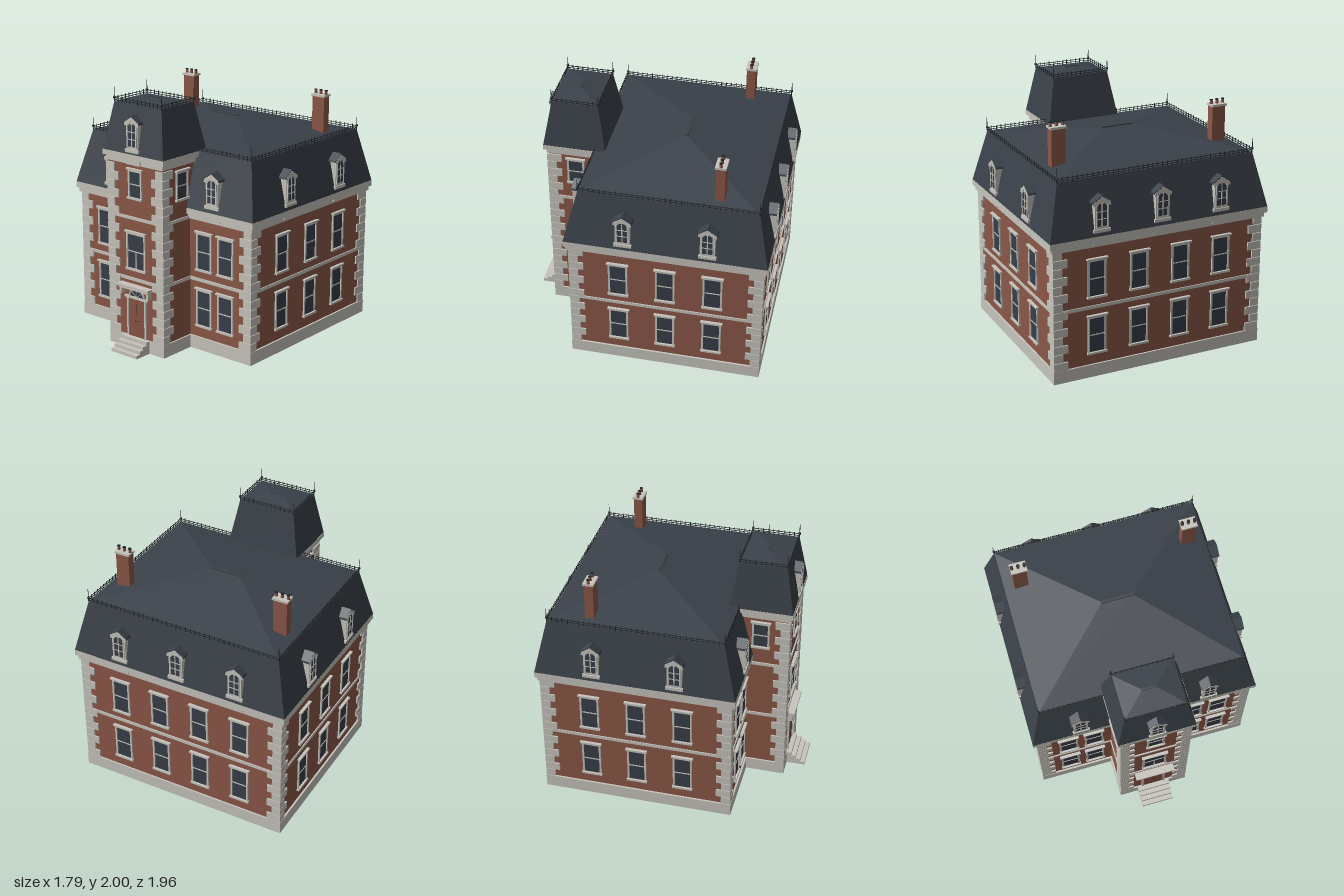
import * as THREE from 'three';
import { mergeGeometries } from 'three/addons/utils/BufferGeometryUtils.js';

const material = (name, color) => {
  const m = new THREE.MeshStandardMaterial({ color });
  m.name = name;
  return m;
};

export function createModel() {
  const stone = material('stone', 0xc6c4bc);
  const brick = material('brick', 0x8b5746);
  const slate = material('slate', 0x3a4149);
  const glass = material('glass', 0x373e49);
  const iron = material('iron', 0x22262a);
  const wood = material('door wood', 0x875342);

  const house = new THREE.Group();
  house.name = 'house';

  const add = (parent, name, geo, mat) => {
    const mesh = new THREE.Mesh(geo, mat);
    mesh.name = name;
    parent.add(mesh);
    return mesh;
  };
  const boxGeo = (x0, x1, y0, y1, z0, z1) =>
    new THREE.BoxGeometry(x1 - x0, y1 - y0, z1 - z0)
      .translate((x0 + x1) / 2, (y0 + y1) / 2, (z0 + z1) / 2);
  const box = (parent, name, mat, ...b) => add(parent, name, boxGeo(...b), mat);
  const group = (name, x = 0, y = 0, z = 0, turn = 0) => {
    const g = new THREE.Group();
    g.name = name;
    g.position.set(x, y, z);
    g.rotation.y = turn;
    house.add(g);
    return g;
  };

  // Box whose top face is a different rectangle: [x0, x1, z0, z1]
  const taper = (name, mat, low, y0, high, y1) => {
    const geo = new THREE.BoxGeometry(1, 1, 1).toNonIndexed();
    const p = geo.attributes.position;
    for (let i = 0; i < p.count; i++) {
      const top = p.getY(i) > 0, r = top ? high : low;
      p.setXYZ(i, p.getX(i) < 0 ? r[0] : r[1], top ? y1 : y0, p.getZ(i) < 0 ? r[2] : r[3]);
    }
    geo.computeVertexNormals();
    add(house, name, geo, mat);
  };

  // Walls, plinths and string courses
  box(house, 'mainWalls', brick, -0.845, 0.845, 0.05, 1.06, -0.932, 0.52);
  box(house, 'towerWalls', brick, -0.265, 0.265, 0.05, 1.48, 0.39, 0.825);
  box(house, 'mainPlinth', stone, -0.86, 0.86, 0, 0.1, -0.945, 0.535);
  box(house, 'towerPlinth', stone, -0.278, 0.278, 0, 0.1, 0.4, 0.838);
  for (const [y0, y1] of [[0.545, 0.57]]) {
    box(house, 'mainBelt', stone, -0.853, 0.853, y0, y1, -0.94, 0.528);
    box(house, 'towerBelt', stone, -0.273, 0.273, y0, y1, 0.4, 0.833);
  }
  box(house, 'towerUpperBelt', stone, -0.275, 0.275, 1.025, 1.048, 0.4, 0.835);

  // Cornices
  box(house, 'mainCorniceLower', stone, -0.87, 0.87, 1.03, 1.065, -0.955, 0.545);
  box(house, 'mainCorniceUpper', stone, -0.887, 0.887, 1.065, 1.112, -0.97, 0.56);
  box(house, 'towerCorniceLower', stone, -0.278, 0.278, 1.45, 1.49, 0.385, 0.838);
  box(house, 'towerCorniceUpper', stone, -0.3, 0.3, 1.49, 1.53, 0.37, 0.857);

  // Mansard slopes, hipped tops and ridge caps
  const mainTop = [-0.79, 0.79, -0.88, 0.455];
  const towerTop = [-0.232, 0.232, 0.435, 0.79];
  taper('mainMansard', slate, [-0.887, 0.887, -0.97, 0.56], 1.11, mainTop, 1.53);
  taper('mainHipRoof', slate, mainTop, 1.53, [-0.12, 0.12, -0.214, -0.212], 1.655);
  box(house, 'mainRidge', slate, -0.125, 0.125, 1.645, 1.662, -0.225, -0.201);
  taper('towerMansard', slate, [-0.298, 0.298, 0.372, 0.855], 1.53, towerTop, 1.89);
  taper('towerHipRoof', slate, towerTop, 1.89, [-0.05, 0.05, 0.611, 0.613], 1.92);
  box(house, 'towerRidge', slate, -0.055, 0.055, 1.912, 1.925, 0.602, 0.622);

  // Corner quoins: long and short blocks swap sides on each course
  const quoins = (name, cx, cz, top) => {
    const parts = [], h = 0.067, sx = Math.sign(cx), sz = Math.sign(cz);
    for (let i = 0, y = 0.1; y < top - 0.02; i++, y += h) {
      const w = i % 2 ? 0.073 : 0.113, d = i % 2 ? 0.113 : 0.073;
      const y1 = Math.min(y + h - 0.004, top);
      parts.push(new THREE.BoxGeometry(w, y1 - y, d)
        .translate(cx - sx * w / 2, (y + y1) / 2, cz - sz * d / 2));
    }
    add(house, name, mergeGeometries(parts), stone);
  };
  for (const s of [-1, 1]) {
    quoins('mainFrontQuoins', s * 0.857, 0.532, 1.03);
    quoins('mainBackQuoins', s * 0.857, -0.944, 1.03);
    quoins('towerQuoins', s * 0.277, 0.837, 1.45);
  }

  // Sash window facing local +z; w is half the glass width, split adds a lower mullion
  const sash = (x, y, z, turn, w = 0.06, h = 0.27, split = false) => {
    const g = group('window', x, y, z, turn);
    box(g, 'glass', glass, -w, w, 0, h, -0.005, 0.004);
    const f = 0.014;
    const parts = [
      boxGeo(-w - f, -w, 0, h, -0.005, 0.012), boxGeo(w, w + f, 0, h, -0.005, 0.012),
      boxGeo(-w - f, w + f, h, h + f, -0.005, 0.014),
      boxGeo(-w - 0.024, w + 0.024, h + f, h + f + 0.012, -0.005, 0.024),
      boxGeo(-w - 0.02, w + 0.02, -0.016, 0, -0.005, 0.02),
      boxGeo(-w, w, h / 2 - 0.004, h / 2 + 0.004, -0.005, 0.008),
    ];
    if (split) parts.push(boxGeo(-0.004, 0.004, 0, h / 2, -0.005, 0.008));
    add(g, 'windowFrame', mergeGeometries(parts), stone);
  };
  const quarter = Math.PI / 2;
  for (const y of [0.2, 0.645]) {
    for (const s of [-1, 1]) {
      for (const x of [0.405, 0.61]) sash(s * x, y, 0.52, 0);
      for (const z of [0.155, -0.205, -0.565]) sash(s * 0.845, y, z, s * quarter);
      for (const x of [0.17, 0.51]) sash(s * x, y, -0.932, Math.PI);
    }
  }
  sash(0, 0.645, 0.825, 0, 0.08, 0.265, true);
  sash(0, 1.2, 0.825, 0, 0.053, 0.195);
  for (const s of [-1, 1]) sash(s * 0.265, 1.2, 0.615, s * quarter, 0.053, 0.195);

  // Gabled dormer facing local +z, its face at z = 0
  const outline = (pts) => new THREE.Shape(pts.map(([x, y]) => new THREE.Vector2(x, y)));
  const extrude = (pts, depth) =>
    new THREE.ExtrudeGeometry(outline(pts), { depth, bevelEnabled: false });
  const dormer = (x, y, z, turn) => {
    const g = group('dormer', x, y, z, turn);
    add(g, 'dormerBody', extrude([[-0.056, 0], [0.056, 0], [0.056, 0.225], [0, 0.265], [-0.056, 0.225]],
      0.12).translate(0, 0, -0.12), stone);
    add(g, 'dormerRoof', extrude([[-0.074, 0.215], [-0.056, 0.215], [0, 0.256], [0.056, 0.215],
      [0.074, 0.215], [0.07, 0.23], [0, 0.277], [-0.07, 0.23]], 0.125).translate(0, 0, -0.12), slate);
    add(g, 'dormerGable', extrude([[-0.07, 0.2], [-0.05, 0.2], [0, 0.24], [0.05, 0.2],
      [0.07, 0.2], [0.066, 0.225], [0, 0.268], [-0.066, 0.225]], 0.006).translate(0, 0, 0.001), stone);
    box(g, 'dormerSill', stone, -0.066, 0.066, 0, 0.024, -0.03, 0.008);
    add(g, 'dormerGlass', extrude([[-0.038, 0.045], [0.038, 0.045], [0.038, 0.195], [0.02, 0.215],
      [-0.02, 0.215], [-0.038, 0.195]], 0.003), glass);
    const bars = [boxGeo(-0.004, 0.004, 0.045, 0.215, 0, 0.006)];
    for (const b of [0.1, 0.155]) bars.push(boxGeo(-0.038, 0.038, b - 0.003, b + 0.003, 0, 0.006));
    for (const s of [-1, 1]) {
      bars.push(boxGeo(s * 0.043 - 0.005, s * 0.043 + 0.005, 0.035, 0.2, 0, 0.007));
    }
    add(g, 'dormerBars', mergeGeometries(bars), stone);
    // Cornice block below the dormer
    box(g, 'corniceBlock', stone, -0.066, 0.066, -0.095, -0.055, -0.05, -0.005);
  };
  for (const s of [-1, 1]) {
    dormer(s * 0.505, 1.142, 0.558, 0);
    dormer(s * 0.485, 1.142, -0.968, Math.PI);
    for (const z of [0.105, -0.525]) dormer(s * 0.886, 1.142, z, s * quarter);
  }
  dormer(0, 1.142, -0.968, Math.PI);
  dormer(0, 1.545, 0.856, 0);

  // Entrance: double door, fanlight and bracketed canopy
  const door = group('entrance', 0, 0, 0.825);
  for (const s of [-1, 1]) {
    box(door, 'doorLeaf', wood, Math.min(s * 0.001, s * 0.08), Math.max(s * 0.001, s * 0.08), 0.1, 0.405, 0, 0.008);
    box(door, 'doorJamb', stone, s * 0.088 - 0.008, s * 0.088 + 0.008, 0.1, 0.405, 0, 0.014);
    box(door, 'canopyBracket', stone, s * 0.135 - 0.011, s * 0.135 + 0.011, 0.435, 0.49, 0, 0.04);
    add(door, 'doorKnob', new THREE.SphereGeometry(0.005, 8, 6).translate(s * 0.012, 0.23, 0.012), iron);
  }
  box(door, 'doorGap', iron, -0.001, 0.001, 0.1, 0.405, 0, 0.007);
  box(door, 'transom', stone, -0.115, 0.115, 0.405, 0.421, 0, 0.02);
  add(door, 'fanlight', new THREE.CircleGeometry(0.07, 20, 0, Math.PI).translate(0, 0.418, 0.005), glass);
  add(door, 'fanlightArch', new THREE.TorusGeometry(0.072, 0.008, 6, 20, Math.PI).translate(0, 0.415, 0.004), stone);
  for (const a of [-0.9, 0, 0.9]) {
    add(door, 'fanlightBar', boxGeo(-0.002, 0.002, 0, 0.07, 0, 0.008).rotateZ(a).translate(0, 0.418, 0), stone);
  }
  box(door, 'canopy', stone, -0.145, 0.145, 0.485, 0.5, 0, 0.05);
  box(door, 'canopyTop', stone, -0.158, 0.158, 0.5, 0.518, 0, 0.06);

  // Front steps
  [0.982, 0.945, 0.908, 0.872].forEach((z, i) =>
    box(house, 'step', stone, -0.13, 0.13, i * 0.025, (i + 1) * 0.025, 0.8, z));

  // Chimneys with three pots each
  for (const s of [-1, 1]) {
    const c = group('chimney', s * 0.655, 0, -0.575);
    box(c, 'chimneyStack', brick, -0.054, 0.054, 1.5, 1.83, -0.034, 0.034);
    box(c, 'chimneyCap', stone, -0.062, 0.062, 1.825, 1.842, -0.042, 0.042);
    for (const x of [-0.048, 0, 0.048]) {
      add(c, 'chimneyPot', new THREE.CylinderGeometry(0.01, 0.013, 0.035, 10).translate(x, 1.857, 0), brick);
      add(c, 'potRim', new THREE.CylinderGeometry(0.013, 0.013, 0.006, 10).translate(x, 1.873, 0), iron);
    }
  }

  // Iron cresting: two rails with pickets between two points
  const railing = (x0, z0, x1, z1, y) => {
    const length = Math.hypot(x1 - x0, z1 - z0), n = Math.round(length / 0.04), parts = [];
    for (const h of [0.01, 0.026]) parts.push(boxGeo(0, length, h - 0.002, h + 0.002, -0.002, 0.002));
    for (let i = 0; i <= n; i++) {
      const x = i * length / n;
      parts.push(boxGeo(x - 0.002, x + 0.002, -0.003, 0.036, -0.002, 0.002));
    }
    const g = group('cresting', x0, y, z0, Math.atan2(z0 - z1, x1 - x0));
    add(g, 'crestingRails', mergeGeometries(parts), iron);
  };
  const finial = (x, z, y) => {
    const g = group('finial', x, y, z);
    add(g, 'finialRod', new THREE.CylinderGeometry(0.0015, 0.004, 0.105, 6).translate(0, 0.0525, 0), iron);
    add(g, 'finialBall', new THREE.SphereGeometry(0.011, 8, 6).translate(0, 0.028, 0), iron);
  };
  const crest = ([x0, x1, z0, z1], y, gap) => {
    for (const x of [x0, x1]) {
      railing(x, z0, x, z1, y);
      for (const z of [z0, z1]) finial(x, z, y);
    }
    railing(x0, z0, x1, z0, y);
    if (gap) {
      railing(x0, z1, -gap, z1, y);
      railing(gap, z1, x1, z1, y);
    } else railing(x0, z1, x1, z1, y);
  };
  crest(mainTop, 1.53, 0.29);
  crest(towerTop, 1.89, 0);

  return house;
}
